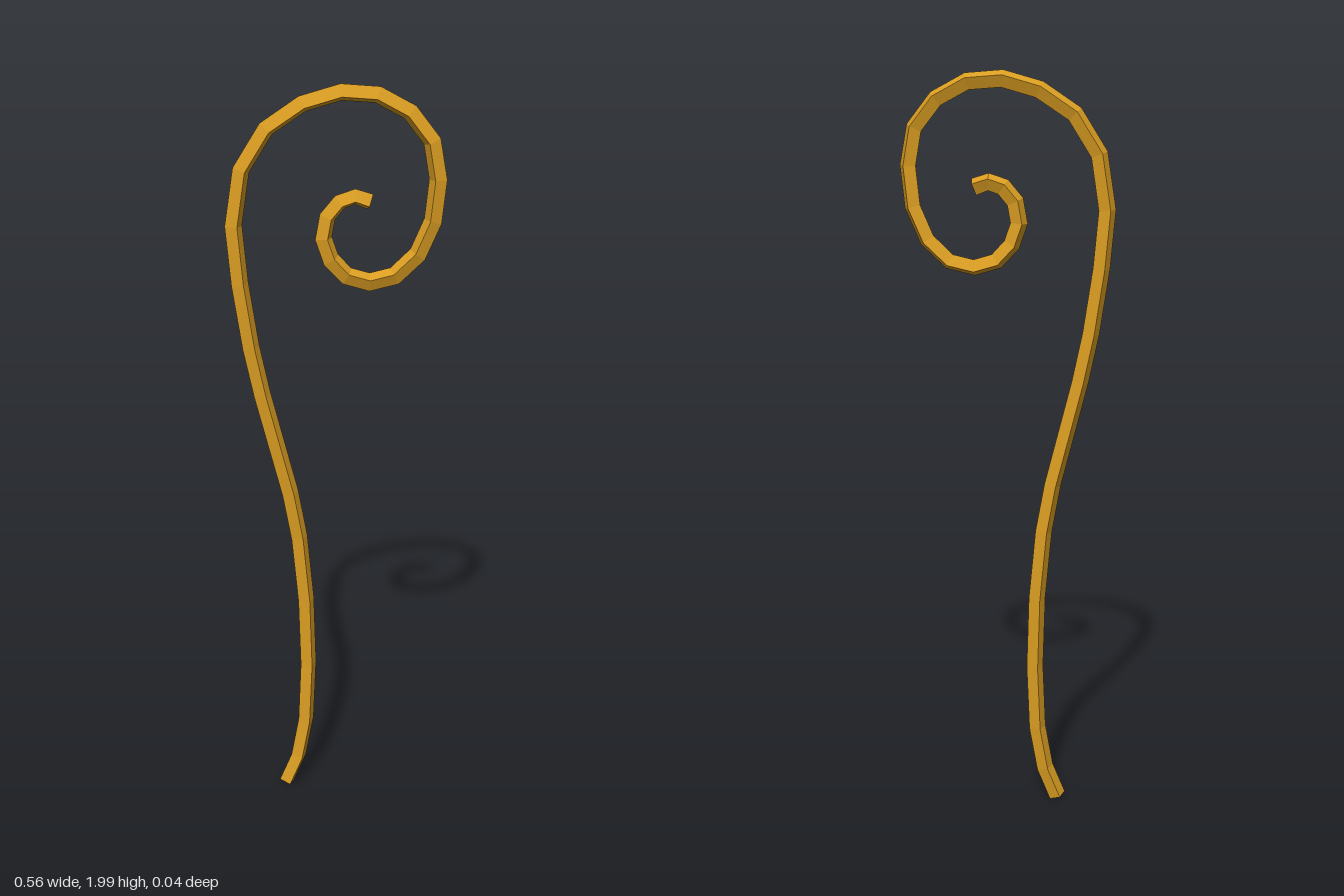
import * as THREE from 'three';

// Centre line in the XY plane, from the foot up and round into the curl
const PATH = [
  [-0.145, 0.015], [-0.11, 0.10], [-0.088, 0.22], [-0.08, 0.40], [-0.085, 0.60],
  [-0.102, 0.79], [-0.125, 0.92], [-0.16, 1.06], [-0.195, 1.20], [-0.222, 1.33],
  [-0.247, 1.50], [-0.26, 1.65], [-0.238, 1.79], [-0.175, 1.89], [-0.085, 1.95],
  [0.01, 1.977], [0.10, 1.97], [0.18, 1.927], [0.236, 1.855], [0.253, 1.76],
  [0.242, 1.655], [0.205, 1.57], [0.147, 1.515], [0.083, 1.50], [0.025, 1.517],
  [-0.015, 1.56], [-0.034, 1.615], [-0.024, 1.67], [0.007, 1.707], [0.045, 1.72], [0.083, 1.707],
];
const RADIUS = 0.0235;
const SIDES = 4;
const ROLL = Math.PI / 8; // turn of the square section about the path

// Sweep a square section along the path, with mitred joints and closed ends
function sweptRod(path) {
  const positions = [];
  const index = [];
  const last = path.length - 1;
  path.forEach(([x, y], i) => {
    const dir = (a, b) => new THREE.Vector2(path[b][0] - path[a][0], path[b][1] - path[a][1]).normalize();
    const before = dir(Math.max(i - 1, 0), Math.max(i, 1));
    const after = dir(Math.min(i, last - 1), Math.min(i + 1, last));
    const t = before.add(after).normalize();
    for (let j = 0; j < SIDES; j++) {
      const a = ROLL + (j / SIDES) * Math.PI * 2;
      const n = RADIUS * Math.cos(a);
      positions.push(x - t.y * n, y + t.x * n, RADIUS * Math.sin(a));
    }
  });
  for (let i = 0; i < last; i++) {
    for (let j = 0; j < SIDES; j++) {
      const a = i * SIDES + j;
      const b = i * SIDES + (j + 1) % SIDES;
      index.push(a, b, b + SIDES, a, b + SIDES, a + SIDES);
    }
  }
  const e = last * SIDES;
  index.push(0, 2, 1, 0, 3, 2, e, e + 1, e + 2, e, e + 2, e + 3);
  const indexed = new THREE.BufferGeometry();
  indexed.setAttribute('position', new THREE.Float32BufferAttribute(positions, 3));
  indexed.setIndex(index);
  const geometry = indexed.toNonIndexed();
  geometry.computeVertexNormals();
  return geometry;
}

export function createModel() {
  const group = new THREE.Group();
  group.name = 'curledStaff';
  const gold = new THREE.MeshStandardMaterial({ color: 0xdb9e22, flatShading: true });
  gold.name = 'gold';
  const rod = new THREE.Mesh(sweptRod(PATH), gold);
  rod.name = 'curledRod';
  group.add(rod);
  return group;
}
